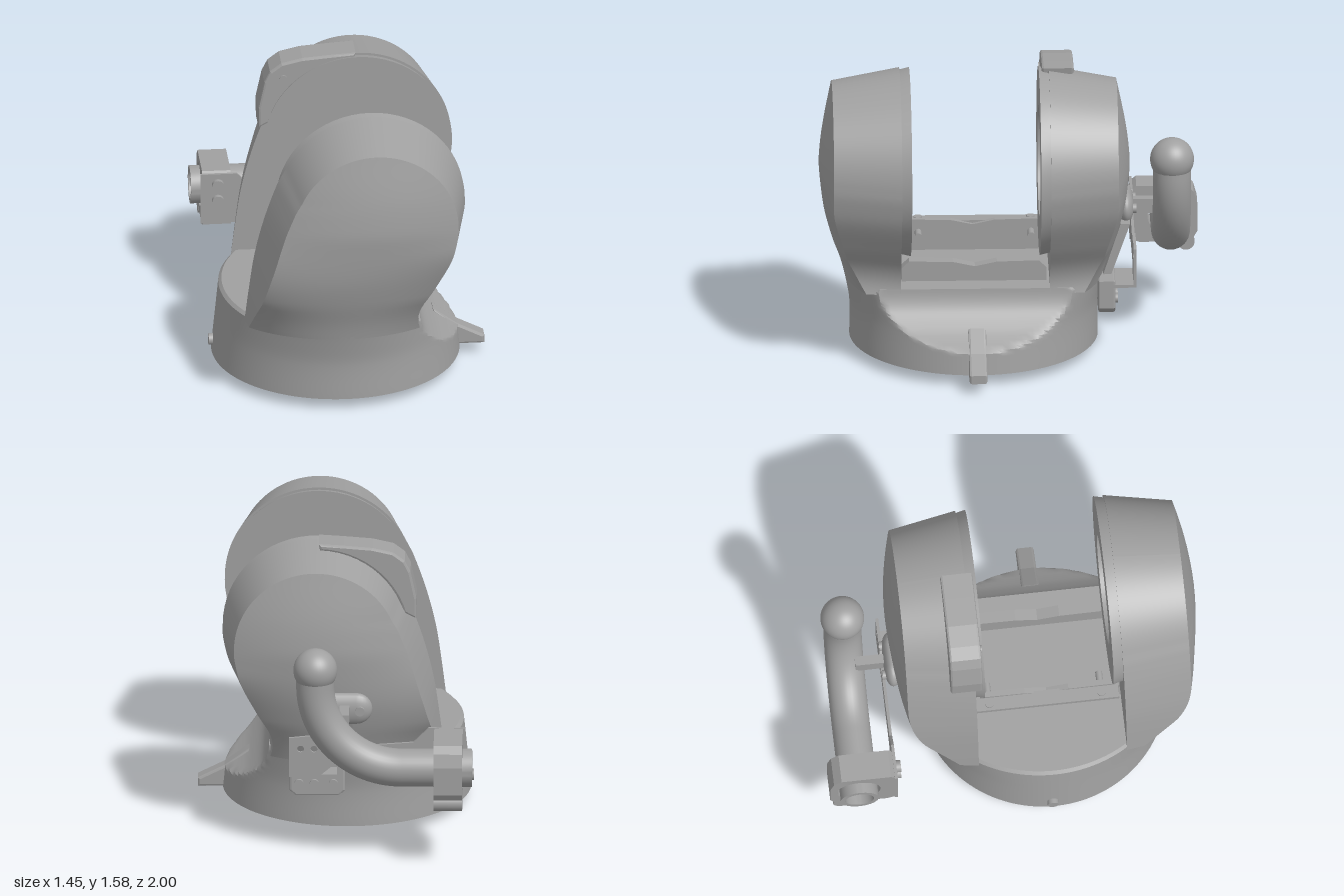
import * as THREE from 'three';
import { toCreasedNormals, mergeVertices } from 'three/addons/utils/BufferGeometryUtils.js';

const ZC = 0.185;                       // middle plane between the two arms
const HEAD = { x: 0.09, y: 1.07, r: 0.495 };

// smooth interpolation in a table of [key, value]
function lookup(t, y) {
  const n = t.length - 1;
  if (y <= t[0][0]) return t[0][1];
  if (y >= t[n][0]) return t[n][1];
  let i = 0;
  while (y > t[i + 1][0]) i++;
  const slope = k => {
    const a = t[Math.max(0, k - 1)], b = t[Math.min(n, k + 1)];
    return (b[1] - a[1]) / (b[0] - a[0]);
  };
  const h = t[i + 1][0] - t[i][0], s = (y - t[i][0]) / h, s2 = s * s, s3 = s2 * s;
  return (2 * s3 - 3 * s2 + 1) * t[i][1] + (s3 - 2 * s2 + s) * h * slope(i)
    + (3 * s2 - 2 * s3) * t[i + 1][1] + (s3 - s2) * h * slope(i + 1);
}

// half depth, right outline and left outline by height
const DEPTH = [[0.06, 0.65], [0.25, 0.65], [0.35, 0.665], [0.5, 0.7], [0.65, 0.75], [0.8, 0.787],
  [1, 0.81], [1.08, 0.813], [1.25, 0.795], [1.5, 0.745], [1.57, 0.73]];
const RIGHT = [[0.06, 0.62], [0.15, 0.61], [0.21, 0.52], [0.26, 0.45], [0.35, 0.37], [0.47, 0.34],
  [0.57, 0.365], [0.7, 0.45], [0.87, 0.545], [1, 0.58], [1.07, 0.585], [1.2, 0.568]];
const LEFT = [[0.4, -0.575], [0.6, -0.55], [0.8, -0.52], [1, -0.47], [1.2, -0.4], [1.27, -0.363]];

// skin over closed rows listed from top to bottom
function loft(rows, flip, caps) {
  const n = rows[0].length, pos = rows.flat(2), idx = [];
  const tri = (a, b, c) => flip ? idx.push(a, c, b) : idx.push(a, b, c);
  for (let i = 0; i < rows.length - 1; i++) for (let j = 0; j < n; j++) {
    const a = i * n + j, b = i * n + (j + 1) % n;
    tri(a, b, a + n); tri(b, b + n, a + n);
  }
  if (caps) for (const i of [0, rows.length - 1]) {
    const c = pos.length / 3;
    pos.push(-0.1, rows[i][0][1], ZC);
    for (let j = 0; j < n; j++) {
      const a = i * n + j, b = i * n + (j + 1) % n;
      i ? tri(c, a, b) : tri(c, b, a);
    }
  }
  const g = new THREE.BufferGeometry();
  g.setAttribute('position', new THREE.Float32BufferAttribute(pos, 3));
  g.setIndex(idx);
  return toCreasedNormals(g, 0.6);
}

// round base with the hollow cut into its right side
function bodyGeometry() {
  const rows = [], N = 120;
  for (let k = 0; k <= 24; k++) {
    const y = 0.45 - 0.39 * k / 24, rx = 0.65 - 0.04 * (y - 0.06) / 0.39 - (k === 0 ? 0.015 : 0);
    const D = lookup(DEPTH, y) - (k === 0 ? 0.015 : 0), xr = lookup(RIGHT, y);
    rows.push(Array.from({ length: N }, (_, j) => {
      const a = j / N * Math.PI * 2;
      return [Math.min(xr, -0.06 + rx * Math.cos(a)), y, ZC + D * Math.sin(a)];
    }));
  }
  return loft(rows, false, true);
}

// arm: round tapering head running down into the base
function armGeometry(side) {
  const rows = [], M = 24, inner = 0.39;
  const ys = [];
  for (let a = 90; a >= 12; a -= 3) ys.push(HEAD.y + HEAD.r * Math.sin(a * Math.PI / 180));
  for (let y = 1.14; y > 0.39; y -= 0.03) ys.push(y);
  for (const y of ys) {
    const sin = Math.min(1, Math.max(0, (y - HEAD.y) / HEAD.r)), cos = Math.sqrt(1 - sin * sin);
    const xr = y > 1.1 ? HEAD.x + HEAD.r * cos : lookup(RIGHT, y);
    const xl = y > 1.27 ? HEAD.x - HEAD.r * cos : lookup(LEFT, y);
    const w = THREE.MathUtils.smoothstep(y, 0.2, 0.95);
    const inset = 0.065 * w * cos, ye = y - 0.065 * sin, D = lookup(DEPTH, ye);
    const row = [[xr, y, ZC + side * inner]];
    for (let j = 0; j <= M; j++) {
      const u = Math.cos(j / M * Math.PI);
      const x = THREE.MathUtils.lerp(xl + inset, xr - inset, (u + 1) / 2);
      const round = D * (1 - Math.sqrt(Math.max(0, 1 - ((x + 0.06) / 0.65) ** 2)));
      const flat = Math.max(0, D - 0.745) * u * u;
      row.push([x, ye, ZC + side * (D - THREE.MathUtils.lerp(round, flat, w))]);
    }
    row.push([xl, y, ZC + side * inner]);
    rows.push(row);
  }
  return loft(rows, side < 0, false);
}

const shapeOf = pts => new THREE.Shape(pts.map(p => new THREE.Vector2(...p)));
const circlePath = (x, y, r) => new THREE.Path().absarc(x, y, r, 0, Math.PI * 2, true);
function slab(pts, depth, holes = [], bevel = 0) {
  const s = shapeOf(pts);
  holes.forEach(h => s.holes.push(circlePath(...h)));
  return new THREE.ExtrudeGeometry(s, { depth, curveSegments: 24, bevelEnabled: bevel > 0,
    bevelSize: bevel, bevelThickness: bevel, bevelOffset: -bevel, bevelSegments: 2 });
}
// slab drawn in (z, y), running from x towards -x
const crossSlab = (pts, depth, holes, bevel) => slab(pts, depth, holes, bevel).rotateY(-Math.PI / 2);
const lathe = pts => toCreasedNormals(new THREE.LatheGeometry(pts.map(p => new THREE.Vector2(...p)), 64), 0.6);

export function createModel() {
  const root = new THREE.Group();
  const grey = new THREE.MeshStandardMaterial({ color: 0xa0a0a0 });
  grey.name = 'grey';
  const add = (name, geo, x = 0, y = 0, z = 0, parent = root) => {
    const m = new THREE.Mesh(geo, grey);
    m.name = name;
    m.position.set(x, y, z);
    parent.add(m);
    return m;
  };
  const box = (name, x0, x1, y0, y1, z0, z1) => add(name, new THREE.BoxGeometry(x1 - x0, y1 - y0, z1 - z0),
    (x0 + x1) / 2, (y0 + y1) / 2, (z0 + z1) / 2);
  const rod = (name, r, len, axis, x, y, z) => {
    const g = new THREE.CylinderGeometry(r, r, len, 24);
    if (axis === 'x') g.rotateZ(Math.PI / 2);
    if (axis === 'z') g.rotateX(Math.PI / 2);
    return add(name, g, x, y, z);
  };

  // base
  add('basePlug', new THREE.CylinderGeometry(0.29, 0.29, 0.08, 64), -0.06, 0.04, 0.18);
  add('body', bodyGeometry());
  rod('baseScrew', 0.03, 0.06, 'x', -0.695, 0.12, 0.17);
  add('pointer', slab([[0.45, 0.06], [0.72, 0.06], [0.72, 0.105], [0.58, 0.175], [0.45, 0.27]], 0.07, [], 0.012), 0, 0, 0.145);

  // arms with recessed round bosses facing each other
  for (const side of [1, -1]) {
    add(side > 0 ? 'frontArm' : 'backArm', armGeometry(side));
    const boss = add(side > 0 ? 'frontBoss' : 'backBoss',
      lathe([[0.482, 0], [0.495, 0.055], [0.29, 0.055], [0.29, 0.003], [0, 0.003]]), HEAD.x, HEAD.y, ZC + side * 0.393);
    boss.rotation.x = -side * Math.PI / 2;
  }

  // hood over the upper left of the back arm
  const hood = [[-0.43, 1.17], [-0.432, 1.28], [-0.4, 1.43], [-0.37, 1.49], [-0.31, 1.535], [-0.2, 1.56], [-0.05, 1.572], [0.08, 1.58]];
  for (let a = 92; a <= 164; a += 6) {
    const t = a * Math.PI / 180;
    hood.push([HEAD.x + 0.475 * Math.cos(t), HEAD.y + 0.475 * Math.sin(t)]);
  }
  add('hood', slab(hood.reverse(), 0.145, [], 0.012), 0, 0, -0.325);
  rod('hoodScrew', 0.02, 0.02, 'z', -0.3, 1.45, -0.17);

  // bracket between the arms
  const plate = top => [[-0.19, 0.4], [0.57, 0.4], [0.57, top - 0.04], [0.53, top], [0.3, top - 0.005],
    [0.185, top - 0.03], [0.07, top - 0.005], [-0.15, top], [-0.19, top - 0.04]];
  add('rearPlate', crossSlab(plate(0.62), 0.03, [[-0.12, 0.55, 0.018], [0.47, 0.55, 0.018]]), -0.24);
  add('frontPlate', crossSlab(plate(0.56), 0.06), 0.22);
  box('plateLedge', -0.34, -0.26, 0.58, 0.605, -0.19, 0.56);
  for (const z of [-0.12, 0.47]) {
    rod('plateScrew', 0.018, 0.1, 'x', -0.22, 0.55, z);
    rod('ledgeScrew', 0.022, 0.02, 'y', -0.305, 0.605, z);
  }

  // bent handle with a ball on top and an open end
  const path = new THREE.CurvePath();
  const v = (x, y) => new THREE.Vector3(x, y, -0.85);
  path.add(new THREE.LineCurve3(v(0.09, 1.07), v(0.09, 0.98)));
  path.add(new THREE.CubicBezierCurve3(v(0.09, 0.98), v(0.09, 0.73), v(-0.11, 0.53), v(-0.36, 0.53)));
  path.add(new THREE.LineCurve3(v(-0.36, 0.53), v(-0.68, 0.53)));
  add('handleTube', new THREE.TubeGeometry(path, 64, 0.1, 32), 0, 0, 0);
  add('handleBall', new THREE.SphereGeometry(0.115, 40, 28), 0.09, 1.07, -0.85);
  const end = add('handleEnd', lathe([[0.1, 0], [0.1, 0.07], [0.075, 0.07], [0.075, 0.01], [0, 0.01]]), -0.66, 0.53, -0.85);
  end.rotation.z = Math.PI / 2;

  // clamp round the handle
  add('clamp', crossSlab([[-0.65, 0.39], [-0.65, 0.66], [-0.68, 0.685], [-0.94, 0.685], [-0.98, 0.65], [-1, 0.58],
    [-1, 0.43], [-0.97, 0.38], [-0.7, 0.37]], 0.15, [[-0.85, 0.53, 0.115]]), -0.53);
  rod('clampLug', 0.045, 0.15, 'x', -0.605, 0.37, -0.94);
  for (const y of [0.53, 0.62]) rod('clampBolt', 0.032, 0.03, 'z', -0.6, y, -0.635);

  // mounting plates behind the back arm
  add('mountPlate', slab([[-0.69, 0.4], [-0.5, 0.4], [-0.42, 0.45], [0, 0.47], [0.06, 0.42], [0.23, 0.42], [0.23, 0.62],
    [0.04, 0.64], [-0.03, 0.57], [-0.42, 0.6], [-0.5, 0.68], [-0.69, 0.68]], 0.015,
  [[0.1, 0.56, 0.018], [0.17, 0.56, 0.018], [0.03, 0.56, 0.018]]), 0, 0, -0.66);
  box('mountShelf', -0.02, 0.23, 0.405, 0.42, -0.66, -0.48);
  const lower = add('lowerPlate', slab([[-0.06, 0.29], [-0.03, 0.26], [0.2, 0.26], [0.23, 0.29], [0.23, 0.44], [-0.06, 0.44]],
    0.07, [], 0.01), 0, 0, -0.54);
  lower.name = 'lowerPlate';
  for (const x of [0, 0.1, 0.18]) rod('lowerScrew', 0.024, 0.03, 'z', x, 0.33, -0.55);
  add('slantedPlate', crossSlab([[-0.47, 0.38], [-0.51, 0.38], [-0.63, 0.72], [-0.58, 0.72]], 0.22), 0.12);

  // oval pad and hook holding the handle
  const pad = new THREE.CapsuleGeometry(0.085, 0.12, 8, 24).rotateZ(Math.PI / 2).scale(1, 1, 0.5);
  add('hookPad', pad, -0.06, 0.77, -0.61);
  for (const x of [-0.14, 0.02]) rod('padScrew', 0.025, 0.02, 'z', x, 0.77, -0.655);
  box('hookArm', -0.085, -0.035, 0.72, 0.8, -0.8, -0.63);
  return root;
}
